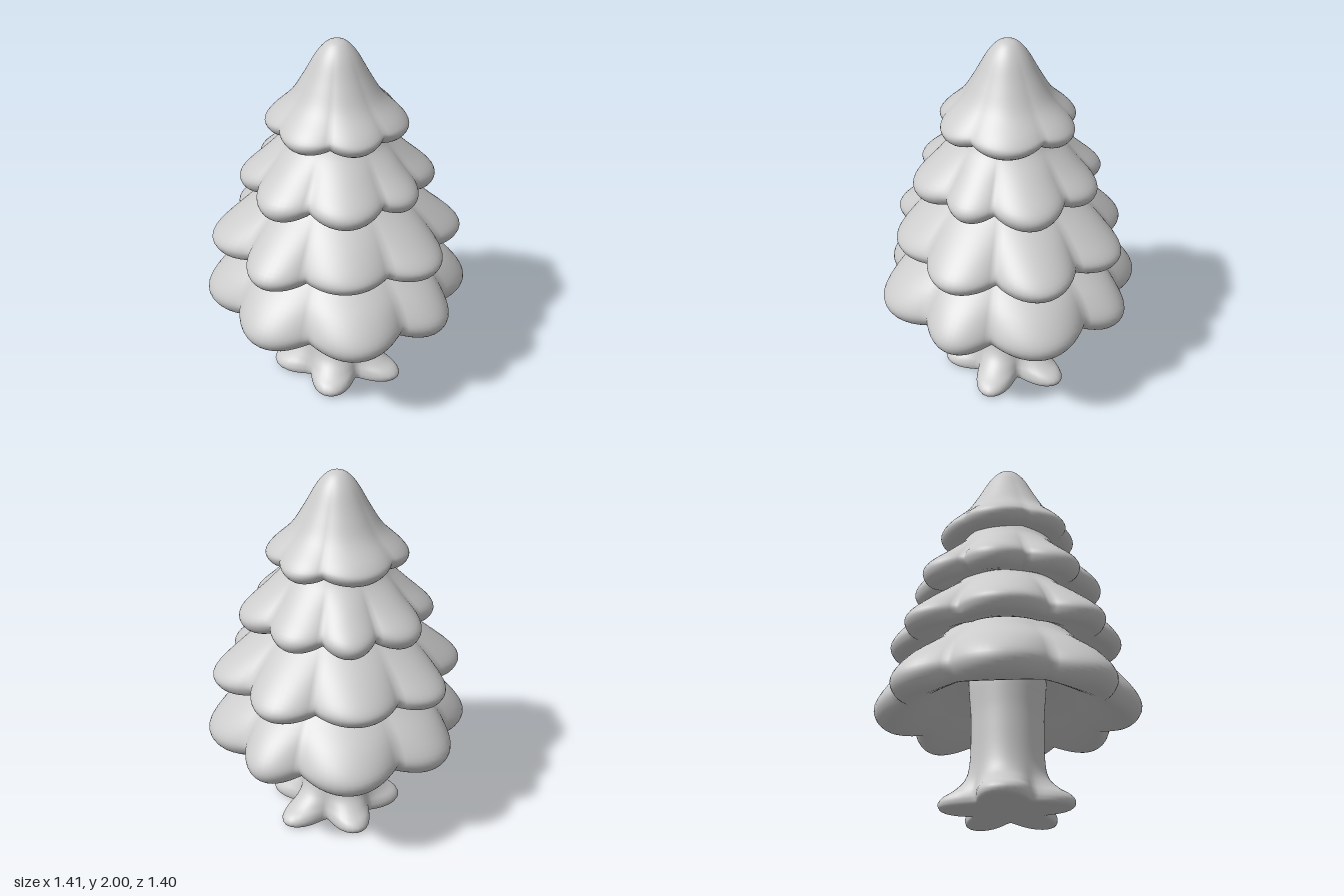
import * as THREE from 'three';

const RAD = Math.PI / 180;

// Closed lobed surface. "tip" and "valley" are [radius, y] profiles, listed top to bottom,
// through the middle of a lobe and through the notch between two lobes.
function lobedGeometry({ valleys, tip, valley, power, reach, perLobe = 14, rows = 44 }) {
  const curve = pts => new THREE.SplineCurve(pts.map(([r, y]) => new THREE.Vector2(r, y)));
  const tipCurve = curve(tip), valleyCurve = curve(valley);
  const columns = [];
  valleys.forEach((start, k) => {
    const end = k + 1 < valleys.length ? valleys[k + 1] : valleys[0] + 360;
    for (let s = 0; s < perLobe; s++) {
      const u = s / perLobe;
      columns.push({
        angle: (start + (end - start) * u) * RAD,
        w: Math.pow(Math.sin(Math.PI * u), power) * reach[k],
      });
    }
  });
  const n = columns.length, positions = [], indices = [];
  for (let i = 0; i <= rows; i++) {
    const a = valleyCurve.getPoint(i / rows), b = tipCurve.getPoint(i / rows);
    for (const { angle, w } of columns) {
      const r = Math.max(0, a.x + (b.x - a.x) * w), y = Math.max(0, a.y + (b.y - a.y) * w);
      positions.push(r * Math.cos(angle), y, r * Math.sin(angle));
    }
  }
  for (let i = 0; i < rows; i++) {
    for (let j = 0; j < n; j++) {
      const a = i * n + j, b = i * n + (j + 1) % n;
      indices.push(a, b, a + n, b, b + n, a + n);
    }
  }
  const geometry = new THREE.BufferGeometry();
  geometry.setAttribute('position', new THREE.Float32BufferAttribute(positions, 3));
  geometry.setIndex(indices);
  geometry.computeVertexNormals();
  return geometry;
}

const PARTS = {
  // Trunk flaring into five roots, slightly hollow underneath
  trunk: {
    valleys: [0, 65, 140, 225, 296], power: 1.5, reach: [1.25, 1, 1, 1, 1.25],
    tip: [[0, 0.8], [0.19, 0.78], [0.19, 0.5], [0.192, 0.28], [0.215, 0.17], [0.275, 0.105],
      [0.335, 0.065], [0.352, 0.03], [0.32, 0.003], [0.2, 0.01], [0, 0.025]],
    valley: [[0, 0.8], [0.19, 0.78], [0.19, 0.5], [0.19, 0.28], [0.198, 0.17], [0.207, 0.11],
      [0.215, 0.07], [0.215, 0.035], [0.195, 0.01], [0.11, 0.015], [0, 0.025]],
  },
  // Foliage skirts, bottom to top
  bottomBranches: {
    valleys: [-27, 24, 61, 110, 155, 205, 248, 299], power: 1.05,
    reach: [1, 0.95, 0.95, 0.95, 1, 0.95, 1, 0.95],
    tip: [[0, 0.98], [0.3, 0.96], [0.44, 0.845], [0.605, 0.715], [0.7, 0.595], [0.685, 0.515],
      [0.61, 0.477], [0.48, 0.53], [0.3, 0.65], [0.15, 0.72], [0, 0.73]],
    valley: [[0, 0.98], [0.3, 0.96], [0.42, 0.85], [0.535, 0.735], [0.595, 0.62], [0.585, 0.56],
      [0.53, 0.522], [0.43, 0.57], [0.29, 0.66], [0.15, 0.72], [0, 0.73]],
  },
  lowerBranches: {
    valleys: [-25, 22, 66, 113, 153, 204, 244, 292], power: 0.95,
    reach: [1, 0.85, 0.5, 0.9, 1, 0.85, 0.65, 0.85],
    tip: [[0, 1.28], [0.24, 1.26], [0.36, 1.17], [0.53, 1.04], [0.655, 0.93], [0.66, 0.87],
      [0.6, 0.83], [0.47, 0.87], [0.28, 0.95], [0, 0.97]],
    valley: [[0, 1.28], [0.24, 1.26], [0.35, 1.17], [0.455, 1.06], [0.53, 0.95], [0.53, 0.9],
      [0.49, 0.87], [0.4, 0.895], [0.28, 0.95], [0, 0.97]],
  },
  upperBranches: {
    valleys: [-27, 25, 62, 115, 163, 208, 252, 290], power: 0.95,
    reach: [1, 0.7, 0.85, 1, 0.9, 1, 0.85, 0.75],
    tip: [[0, 1.58], [0.2, 1.56], [0.28, 1.47], [0.39, 1.37], [0.505, 1.265], [0.51, 1.2],
      [0.455, 1.16], [0.36, 1.195], [0.22, 1.25], [0, 1.27]],
    valley: [[0, 1.58], [0.2, 1.56], [0.275, 1.47], [0.345, 1.38], [0.42, 1.285], [0.42, 1.24],
      [0.38, 1.21], [0.31, 1.215], [0.22, 1.25], [0, 1.27]],
  },
  treetop: {
    valleys: [-67, -18, 50, 102, 158, 222], power: 0.9,
    reach: [1, 1, 0.9, 0.95, 1, 0.95],
    tip: [[0, 2], [0.05, 1.985], [0.105, 1.925], [0.17, 1.81], [0.24, 1.7], [0.34, 1.605], [0.37, 1.55],
      [0.325, 1.5], [0.24, 1.515], [0.15, 1.55], [0, 1.56]],
    valley: [[0, 2], [0.05, 1.985], [0.104, 1.925], [0.165, 1.81], [0.23, 1.7], [0.308, 1.61], [0.325, 1.57],
      [0.29, 1.53], [0.22, 1.53], [0.15, 1.555], [0, 1.56]],
  },
};

export function createModel() {
  const grey = new THREE.MeshStandardMaterial({ color: 0xcccccc });
  grey.name = 'light grey';
  const tree = new THREE.Group();
  tree.name = 'tree';
  for (const [name, spec] of Object.entries(PARTS)) {
    const mesh = new THREE.Mesh(lobedGeometry(spec), grey);
    mesh.name = name;
    tree.add(mesh);
  }
  return tree;
}
